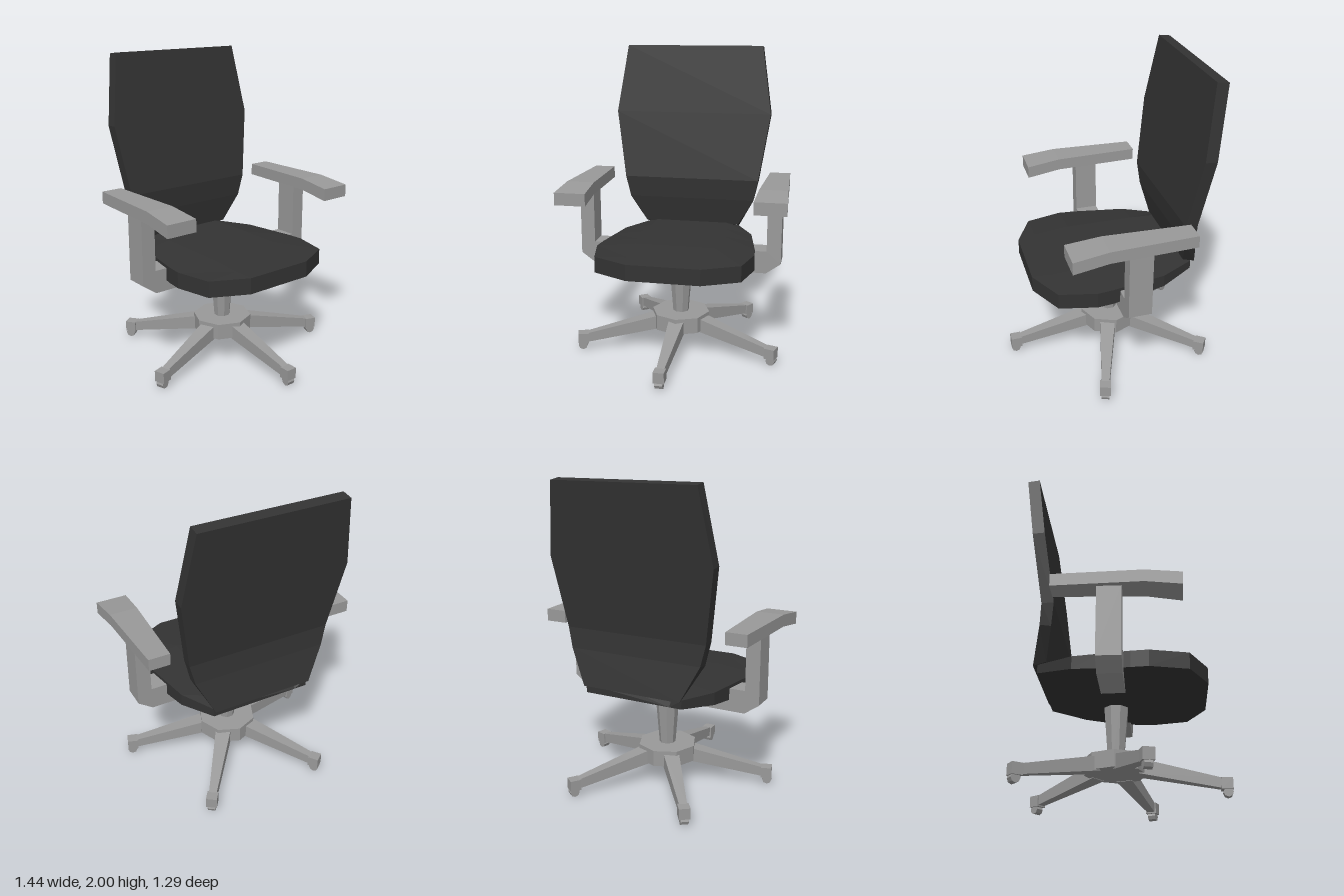
import * as THREE from 'three';

const grey = new THREE.MeshStandardMaterial({ color: 0x999999, flatShading: true });
const black = new THREE.MeshStandardMaterial({ color: 0x333333, flatShading: true });

// Closed solid through rings of [x, y, z], each counter-clockwise seen from the first end.
function loft(rings) {
  const n = rings[0].length, pos = [];
  const tri = (a, b, c) => pos.push(...a, ...b, ...c);
  for (let r = 0; r < rings.length - 1; r++) {
    const a = rings[r], b = rings[r + 1];
    for (let i = 0; i < n; i++) {
      const j = (i + 1) % n;
      tri(a[i], b[i], b[j]);
      tri(a[i], b[j], a[j]);
    }
  }
  const first = rings[0], last = rings[rings.length - 1];
  for (let i = 1; i < n - 1; i++) {
    tri(first[0], first[i], first[i + 1]);
    tri(last[0], last[i + 1], last[i]);
  }
  const g = new THREE.BufferGeometry();
  g.setAttribute('position', new THREE.Float32BufferAttribute(pos, 3));
  g.computeVertexNormals();
  return g;
}

// Box-like section facing +z: half width, bottom, top, z.
const section = (w, y0, y1, z) => [[-w, y0, z], [w, y0, z], [w, y1, z], [-w, y1, z]];

function add(parent, name, geometry, material, x = 0, y = 0, z = 0) {
  const mesh = new THREE.Mesh(geometry, material);
  mesh.name = name;
  mesh.position.set(x, y, z);
  parent.add(mesh);
  return mesh;
}

// Domed seat cushion: a vertical rim with shallow crowns above and below.
function seatGeometry() {
  // rim x, rim z, rim bottom y, crown x, crown z, crown top y, belly z, belly y
  const stations = [
    [0.23, 0.515, 0.637, 0.23, 0.515, 0.74, 0.515, 0.637],
    [0.46, 0.40, 0.637, 0.25, 0.40, 0.75, 0.40, 0.613],
    [0.515, 0.165, 0.637, 0.26, 0.165, 0.77, 0.18, 0.57],
    [0.505, 0.06, 0.637, 0.26, 0.06, 0.77, 0.06, 0.57],
    [0.474, -0.12, 0.645, 0.26, -0.12, 0.77, -0.12, 0.57],
    [0.445, -0.29, 0.66, 0.26, -0.29, 0.77, -0.28, 0.60],
    [0.33, -0.51, 0.685, 0.25, -0.45, 0.77, -0.51, 0.685],
  ];
  return loft(stations.map(([rx, rz, ry, cx, cz, cy, bz, by]) => [
    [-cx, by, bz], [cx, by, bz], [rx, ry, rz], [rx, 0.74, rz],
    [cx, cy, cz], [-cx, cy, cz], [-rx, 0.74, rz], [-rx, ry, rz],
  ]));
}

// Backrest: a bent slab, listed from the top down.
function backGeometry() {
  // half width, front y, front z, rear y, rear z
  const stations = [
    [0.47, 2.0, -0.535, 1.99, -0.61],
    [0.54, 1.545, -0.47, 1.54, -0.545],
    [0.47, 1.09, -0.405, 1.085, -0.48],
    [0.44, 0.945, -0.42, 0.955, -0.49],
    [0.33, 0.76, -0.457, 0.735, -0.537],
  ];
  return loft(stations.map(([w, fy, fz, ry, rz]) =>
    [[-w, fy, fz], [w, fy, fz], [w, ry, rz], [-w, ry, rz]]));
}

// L-shaped arm bracket with a chamfered outer corner.
function bracketGeometry() {
  const outline = [[0.2, 0.572], [0.575, 0.572], [0.67, 0.64], [0.67, 1.085],
    [0.577, 1.085], [0.577, 0.72], [0.2, 0.72]];
  const shape = new THREE.Shape(outline.map(([x, y]) => new THREE.Vector2(x, y)));
  const g = new THREE.ExtrudeGeometry(shape, { depth: 0.148, bevelEnabled: false });
  return g.translate(0, 0, -0.074);
}

export function createModel() {
  const chair = new THREE.Group();
  chair.name = 'officeChair';

  add(chair, 'seat', seatGeometry(), black);
  add(chair, 'backrest', backGeometry(), black);

  // Armrests
  const bracket = bracketGeometry();
  const pad = loft([
    section(0.10, 1.05, 1.13, 0.37),
    section(0.09, 1.08, 1.157, 0.15),
    section(0.068, 1.08, 1.157, -0.40),
  ]);
  for (const side of [1, -1]) {
    const arm = new THREE.Group();
    arm.name = side > 0 ? 'leftArm' : 'rightArm';
    add(arm, 'armBracket', bracket, grey, 0, 0, -0.056).rotation.y = side > 0 ? 0 : Math.PI;
    add(arm, 'armPad', pad, grey, side * 0.621);
    chair.add(arm);
  }

  // Five-star base
  const base = new THREE.Group();
  base.name = 'base';
  base.position.z = -0.055;
  chair.add(base);
  const post = new THREE.CylinderGeometry(0.08, 0.052, 0.35, 8).rotateY(Math.PI / 8);
  add(base, 'post', post, grey, 0, 0.405);
  add(base, 'hub', new THREE.CylinderGeometry(0.195, 0.195, 0.105, 8), grey, 0, 0.1975);

  const legGeo = loft([section(0.024, 0.05, 0.112, 0.65), section(0.052, 0.142, 0.235, 0.14)]);
  const blockGeo = new THREE.BoxGeometry(0.07, 0.07, 0.07);
  const wheelGeo = new THREE.CylinderGeometry(0.03, 0.03, 0.05, 8).rotateZ(Math.PI / 2);
  for (let i = 0; i < 5; i++) {
    const leg = new THREE.Group();
    leg.name = 'baseLeg';
    leg.rotation.y = (i * Math.PI * 2) / 5;
    add(leg, 'legSpoke', legGeo, grey);
    add(leg, 'casterBlock', blockGeo, grey, 0, 0.08, 0.665);
    add(leg, 'casterWheel', wheelGeo, grey, 0, 0.03, 0.67);
    base.add(leg);
  }
  return chair;
}
